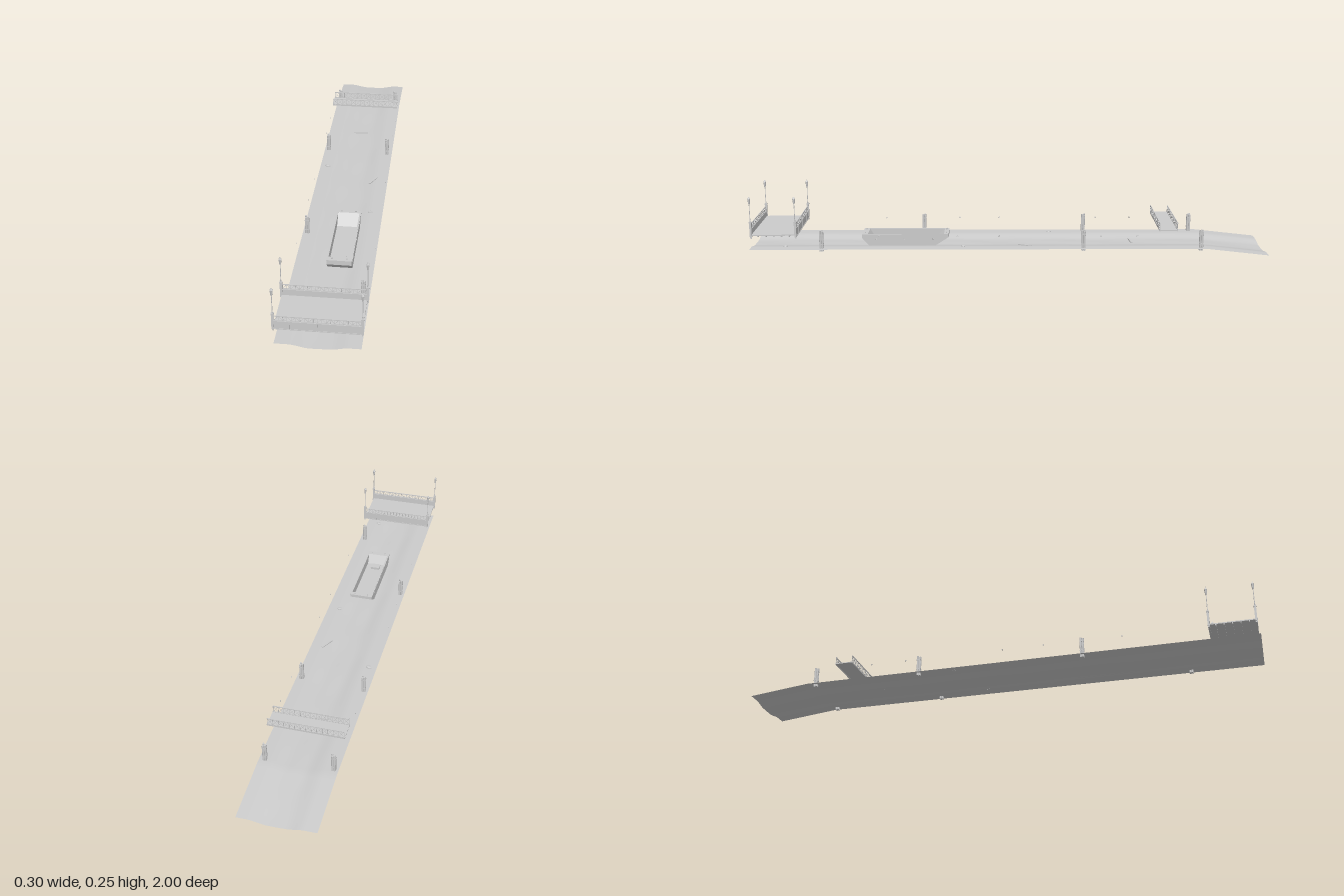
import * as THREE from 'three';

const grey = new THREE.MeshStandardMaterial({ color: 0xcccccc, side: THREE.DoubleSide, flatShading: true });
const smooth = new THREE.MeshStandardMaterial({ color: 0xcccccc, side: THREE.DoubleSide });

function add(parent, name, geo, x = 0, y = 0, z = 0, mat = grey) {
  const m = new THREE.Mesh(geo, mat);
  m.name = name;
  m.position.set(x, y, z);
  parent.add(m);
  return m;
}
const box = (p, name, w, h, d, x, y, z) => add(p, name, new THREE.BoxGeometry(w, h, d), x, y, z);
const cyl = (p, name, r0, r1, h, x, y, z, n = 8) => add(p, name, new THREE.CylinderGeometry(r1, r0, h, n), x, y, z);
function group(parent, name, x = 0, y = 0, z = 0) {
  const g = new THREE.Group();
  g.name = name;
  g.position.set(x, y, z);
  parent.add(g);
  return g;
}

// Height of the channel bed: flat shelves, shallow trough, ramp down at the back
function bedHeight(x, z) {
  const trough = THREE.MathUtils.smoothstep(Math.abs(x - 0.003), 0.03, 0.1);
  const ramp = Math.max(0, (-0.76 - z) / 0.24) * 0.027;
  const ripple = 0.0007 * Math.sin(z * 21 + x * 30) * Math.sin(x * 40 - z * 7) * (1 - trough);
  return 0.028 + 0.0105 * trough - ramp + ripple;
}

// Straight bar in the x-y plane
function bar(parent, x0, y0, x1, y1, z, t) {
  const b = box(parent, 'bar', Math.hypot(x1 - x0, y1 - y0), t, t, (x0 + x1) / 2, (y0 + y1) / 2, z);
  b.rotation.z = Math.atan2(y1 - y0, x1 - x0);
}

// Lattice railing with top and bottom chords, uprights and diagonals
function lattice(parent, name, half, y0, y1, z, panels, crossed) {
  const g = group(parent, name);
  const step = (2 * half) / panels;
  bar(g, -half, y0, half, y0, z, 0.002);
  bar(g, -half, y1, half, y1, z, 0.003);
  for (let i = 0; i <= panels; i++) {
    const x = -half + i * step;
    bar(g, x, y0, x, y1, z, 0.0016);
    if (i === panels) break;
    if (crossed || i % 2 === 0) bar(g, x, y0, x + step, y1, z, 0.0012);
    if (crossed || i % 2 === 1) bar(g, x, y1, x + step, y0, z, 0.0012);
  }
}

function lampPost(parent, x, z) {
  const g = group(parent, 'lampPost', x, 0, z);
  box(g, 'pier', 0.008, 0.056, 0.008, 0, 0.118, 0);
  box(g, 'pierCap', 0.01, 0.005, 0.01, 0, 0.1485, 0);
  box(g, 'bearing', 0.003, 0.006, 0.006, 0, 0.087, 0);
  cyl(g, 'poleFoot', 0.0028, 0.0018, 0.008, 0, 0.155, 0);
  cyl(g, 'pole', 0.0015, 0.0012, 0.064, 0, 0.188, 0);
  const lantern = [[0, 0.219], [0.003, 0.22], [0.0055, 0.238], [0.006, 0.24], [0.0025, 0.246], [0.0008, 0.248], [0, 0.254]];
  add(g, 'lantern', new THREE.LatheGeometry(lantern.map(p => new THREE.Vector2(...p)), 6));
}

function roadBridge(root) {
  const g = group(root, 'roadBridge');
  box(g, 'deck', 0.286, 0.004, 0.168, 0, 0.097, 0.904);
  for (let i = 0; i < 5; i++) box(g, 'deckBeam', 0.286, 0.006, 0.004, 0, 0.0925, 0.844 + i * 0.03);
  for (const [z, out] of [[0.989, 1], [0.819, -1]]) {
    box(g, 'girder', 0.292, 0.029, 0.004, 0, 0.105, z);
    box(g, 'girderTop', 0.292, 0.003, 0.007, 0, 0.121, z);
    box(g, 'girderFoot', 0.292, 0.003, 0.007, 0, 0.0915, z);
    for (const x of [-0.09, 0, 0.09]) box(g, 'stiffener', 0.003, 0.028, 0.003, x, 0.106, z + out * 0.003);
    lattice(g, 'railing', 0.139, 0.124, 0.14, z, 20, false);
    for (const x of [-0.144, 0.144]) lampPost(g, x, z);
  }
}

function footBridge(root) {
  const g = group(root, 'footBridge');
  box(g, 'deck', 0.284, 0.003, 0.068, 0, 0.112, -0.61);
  for (const z of [-0.576, -0.644]) {
    box(g, 'edgeBeam', 0.284, 0.006, 0.003, 0, 0.112, z);
    lattice(g, 'truss', 0.14, 0.115, 0.14, z, 14, true);
  }
}

// Open barge with raked ends, vertical sides and a sunken hold
function barge(root) {
  const g = group(root, 'barge', 0.02, 0, 0);
  const prism = (name, pts, width, x) => {
    const geo = new THREE.ExtrudeGeometry(new THREE.Shape(pts.map(p => new THREE.Vector2(...p))),
      { depth: width, bevelEnabled: false });
    geo.translate(0, 0, -width / 2).rotateY(-Math.PI / 2);
    add(g, name, geo, x);
  };
  const outer = [[0.29, 0.032], [0.548, 0.032], [0.575, 0.06], [0.575, 0.078], [0.238, 0.078], [0.238, 0.066]];
  prism('hull', [...outer.slice(0, 4), [0.553, 0.078], [0.532, 0.042], [0.296, 0.042], [0.256, 0.078], ...outer.slice(4)], 0.082, 0);
  for (const s of [-1, 1]) {
    prism('sideWall', outer, 0.005, s * 0.0425);
    box(g, 'sideRail', 0.002, 0.003, 0.33, s * 0.0455, 0.0755, 0.407);
    for (const z of [0.3, 0.41, 0.52]) {
      const ring = add(g, 'mooringRing', new THREE.TorusGeometry(0.0025, 0.0007, 6, 10), s * 0.046, 0.06, z);
      ring.rotation.y = Math.PI / 2;
    }
    for (const z of [0.247, 0.564]) {
      cyl(g, 'bollard', 0.002, 0.002, 0.005, s * 0.027, 0.08, z);
      cyl(g, 'bollardCap', 0.0028, 0.0028, 0.0012, s * 0.027, 0.0828, z);
    }
  }
  box(g, 'hatch', 0.036, 0.01, 0.026, 0, 0.046, 0.505);
  box(g, 'hatchLid', 0.039, 0.002, 0.029, 0, 0.052, 0.505);
}

// Bundle of four mooring piles bound by a collar
function pileCluster(root, x, z) {
  const g = group(root, 'pileCluster', x, 0, z);
  for (const sx of [-1, 1]) for (const sz of [-1, 1]) {
    const top = 0.107 + 0.002 * sx * sz;
    cyl(g, 'pile', 0.0042, 0.004, top - 0.028, sx * 0.0038, (top + 0.028) / 2, sz * 0.0038, 10);
  }
  for (const y of [0.055, 0.094]) box(g, 'collar', 0.0155, 0.004, 0.0155, 0, y, 0);
}

export function createModel() {
  const root = new THREE.Group();
  root.name = 'canalSection';

  // Channel bed sheet
  const bed = new THREE.PlaneGeometry(0.284, 2, 32, 100).rotateX(-Math.PI / 2);
  const p = bed.attributes.position;
  for (let i = 0; i < p.count; i++) p.setY(i, bedHeight(p.getX(i), p.getZ(i)));
  bed.computeVertexNormals();
  add(root, 'channelBed', bed, 0, 0, 0, smooth);

  roadBridge(root);
  footBridge(root);
  barge(root);

  for (const [x, z] of [[-0.125, -0.73], [0.121, -0.74], [-0.125, -0.3], [0.121, -0.285], [-0.126, 0.345], [0.121, 0.725]])
    pileCluster(root, x, z);

  // Mooring rings along both banks
  for (const s of [-1, 1]) for (const z of [0.5, 0.2, 0.04, -0.35, -0.49]) {
    const ring = add(root, 'bankRing', new THREE.TorusGeometry(0.0025, 0.0009, 6, 12), s * 0.141, 0.091, z);
    ring.rotation.y = Math.PI / 2;
  }

  // Sunken planks: x, z, length, turn
  for (const [x, z, len, turn] of [[-0.007, -0.48, 0.06, 0.1], [0.084, -0.06, 0.058, 1.1]]) {
    const plank = box(root, 'plank', len, 0.004, 0.007, x, bedHeight(x, z) + 0.002, z);
    plank.rotation.y = turn;
  }
  // Flat stones: x, z, radius
  for (const [x, z, r] of [[-0.112, -0.16, 0.012], [0.095, 0.18, 0.01], [0.09, 0.87, 0.011]]) {
    const stone = add(root, 'stone', new THREE.DodecahedronGeometry(r), x, bedHeight(x, z) + 0.001, z);
    stone.scale.set(1.1, 0.3, 0.8);
  }
  return root;
}
